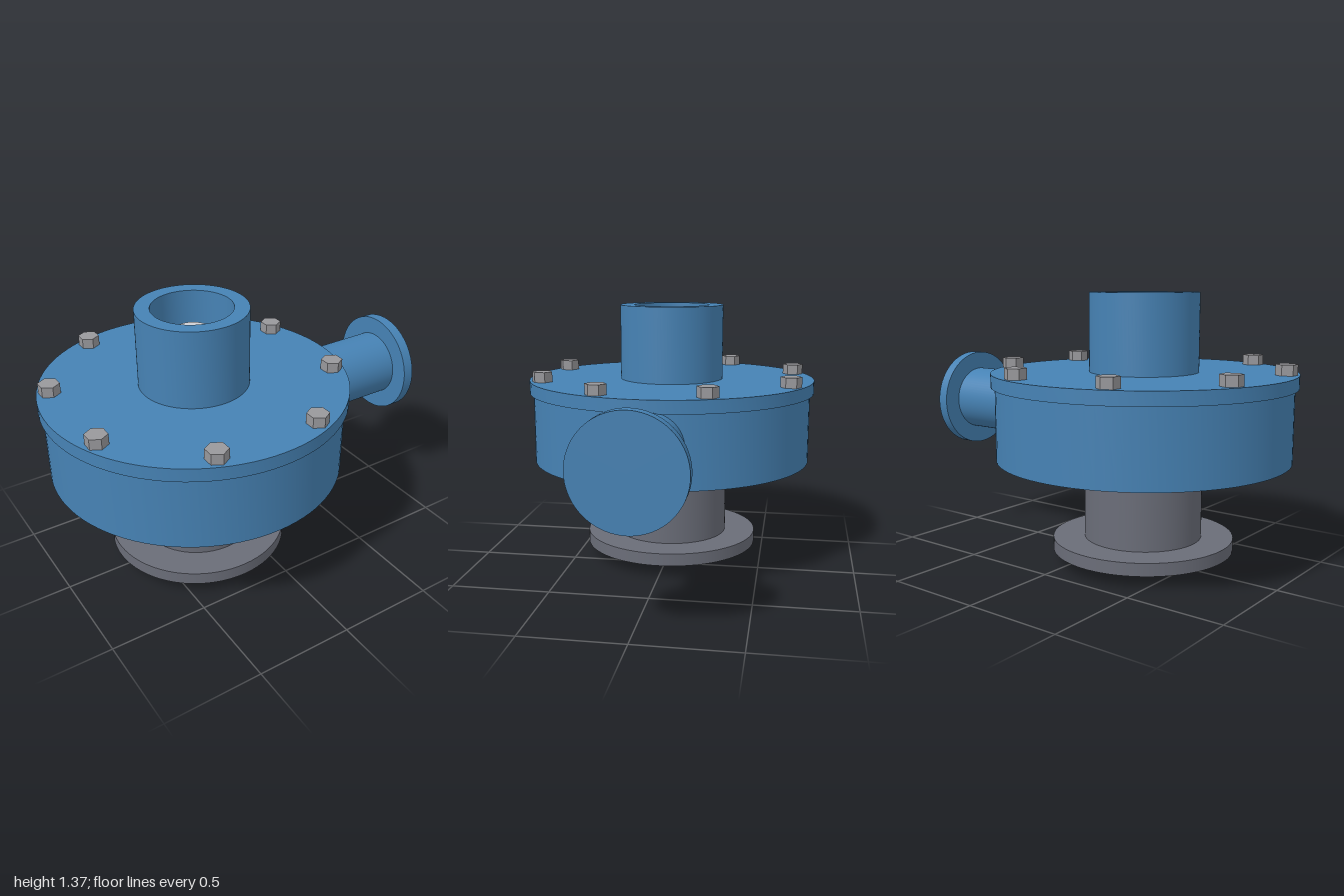
import * as THREE from 'three';
import { toCreasedNormals } from 'three/addons/utils/BufferGeometryUtils.js';

const AXIS_X = -0.235; // vertical pump axis

export function createModel() {
  const mat = (name, color) => {
    const m = new THREE.MeshStandardMaterial({ color });
    m.name = name;
    return m;
  };
  const blue = mat('blue paint', 0x4682b4);
  const grey = mat('dark grey iron', 0x6a6d78);
  const steel = mat('bolt steel', 0x98989c);
  const bright = mat('bright shaft steel', 0xd0d0d4);
  const bronze = mat('bronze', 0xd0a868);

  const model = new THREE.Group();
  model.name = 'centrifugalPump';
  const body = new THREE.Group();
  body.name = 'pumpBody';
  body.position.x = AXIS_X;
  model.add(body);

  const add = (parent, name, geometry, material, x = 0, y = 0, z = 0) => {
    const mesh = new THREE.Mesh(geometry, material);
    mesh.name = name;
    mesh.position.set(x, y, z);
    parent.add(mesh);
    return mesh;
  };
  // Revolved section with sharp rims; the profile runs up the outside
  const revolve = (name, profile, material) => {
    const points = profile.map(([r, y]) => new THREE.Vector2(r, y));
    add(body, name, toCreasedNormals(new THREE.LatheGeometry(points, 96), 0.6), material);
  };
  // Upright solid cylinder between two heights
  const disc = (name, r, y0, y1, material) =>
    add(body, name, new THREE.CylinderGeometry(r, r, y1 - y0, 72), material, 0, (y0 + y1) / 2);

  // Hollow volute casing, open at the top under the cover
  revolve('casing', [[0, 0.54], [0.745, 0.54], [0.745, 0.91], [0.66, 0.91], [0.66, 0.6], [0, 0.6]], blue);
  // Cover plate and suction inlet with a through bore
  revolve('coverPlate', [[0.2, 0.91], [0.765, 0.91], [0.765, 0.977], [0.2, 0.977], [0.2, 0.91]], blue);
  revolve('suctionInlet', [[0.275, 0.975], [0.275, 1.37], [0.2, 1.37], [0.2, 0.975]], blue);

  // Motor adapter and mounting flange
  disc('motorAdapter', 0.3, 0.12, 0.54, grey);
  disc('mountingFlange', 0.462, 0.065, 0.13, grey);

  // Shaft running up through the impeller
  disc('shaft', 0.092, 0, 1.25, bright);

  // Impeller: back plate, hub and radial blades
  disc('impellerBackPlate', 0.55, 0.64, 0.68, grey);
  disc('impellerHub', 0.163, 0.68, 0.88, bronze);
  const blades = new THREE.Group();
  blades.name = 'impellerBlades';
  body.add(blades);
  const bladeGeometry = new THREE.BoxGeometry(0.4, 0.18, 0.028);
  for (let i = 0; i < 12; i++) {
    const a = (i / 12) * Math.PI * 2;
    const blade = add(blades, 'blade', bladeGeometry, bronze,
      0.34 * Math.cos(a), 0.77, 0.34 * Math.sin(a));
    blade.rotation.y = -a;
  }

  // Discharge outlet with its end flange
  const outlet = new THREE.Group();
  outlet.name = 'dischargeOutlet';
  outlet.position.y = 0.748;
  model.add(outlet);
  const across = (name, r, x0, x1) => {
    const mesh = add(outlet, name, new THREE.CylinderGeometry(r, r, x1 - x0, 72), blue, (x0 + x1) / 2);
    mesh.rotation.z = -Math.PI / 2;
  };
  across('outletPipe', 0.172, 0.43, 0.95);
  across('outletFlange', 0.265, 0.942, 1);

  // Ring of eight hexagonal cover bolts
  const bolts = new THREE.Group();
  bolts.name = 'coverBolts';
  body.add(bolts);
  const boltGeometry = toCreasedNormals(new THREE.CylinderGeometry(0.054, 0.054, 0.056, 6), 0.3);
  for (let i = 0; i < 8; i++) {
    const a = ((i + 0.5) / 8) * Math.PI * 2;
    add(bolts, 'coverBolt', boltGeometry, steel, 0.7 * Math.cos(a), 1.002, 0.7 * Math.sin(a));
  }

  return model;
}
